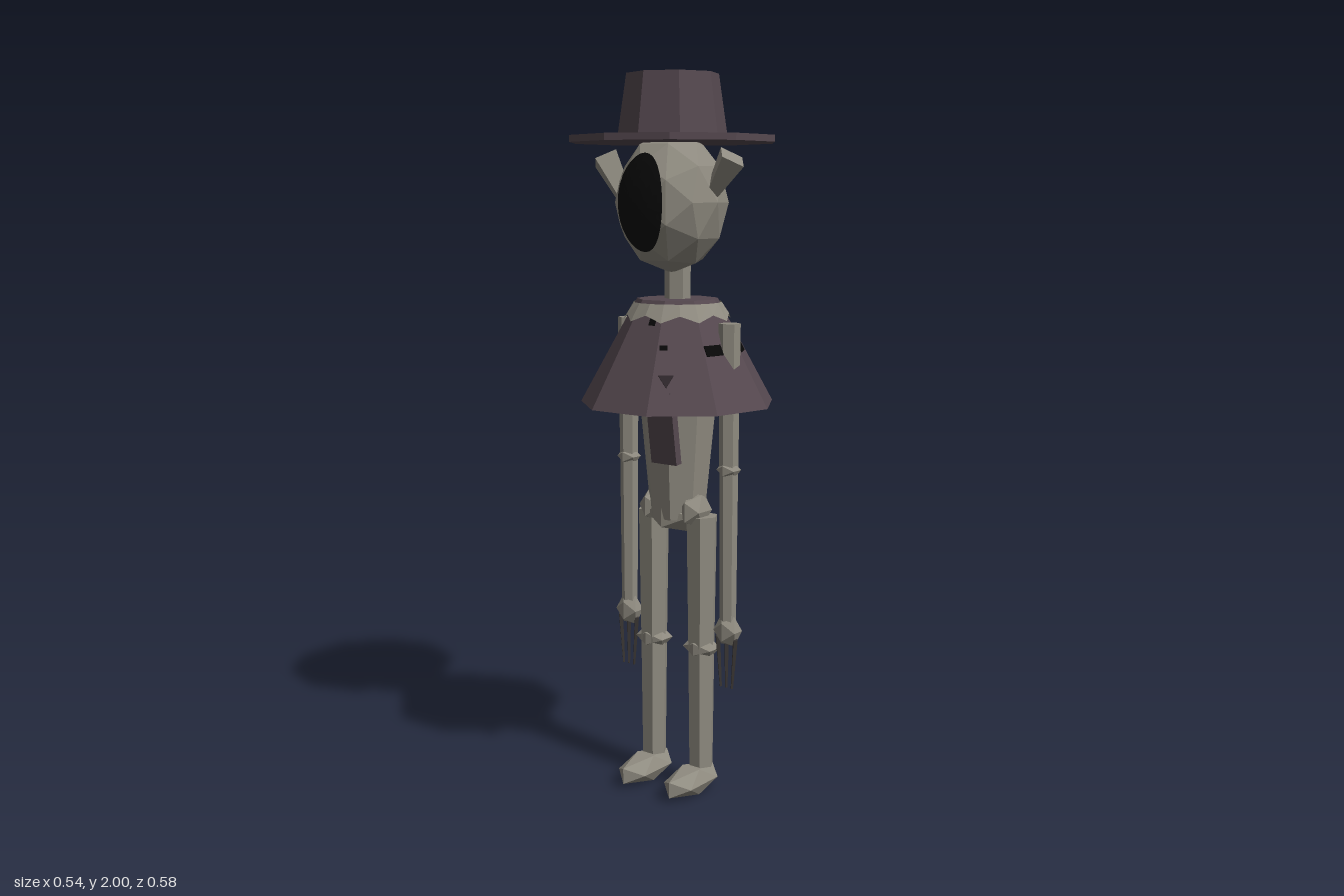
import * as THREE from 'three';

const mat = (name, color, side = THREE.FrontSide) =>
  Object.assign(new THREE.MeshStandardMaterial({ color, flatShading: true, side }), { name });

export function createModel() {
  const model = new THREE.Group();
  model.name = 'hattedFigure';
  const bone = mat('bone', 0x8f8b80);
  const collarBone = mat('collar bone', 0x8f8b80, THREE.DoubleSide);
  const cloth = mat('dark cloth', 0x55484f);
  const black = mat('black', 0x080808, THREE.DoubleSide);
  const claw = mat('claw', 0x3b3735);
  const patch = mat('patch', 0x2f272b);
  const Z = -0.017; // body axis depth

  const add = (name, geo, material, x = 0, y = 0, z = 0, parent = model) => {
    const m = new THREE.Mesh(geo, material);
    m.name = name;
    m.position.set(x, y, z);
    parent.add(m);
    return m;
  };
  // tapered prism from point a to point b
  const limb = (name, material, a, b, ra, rb, sides, twist = 0) => {
    const p = new THREE.Vector3(...a), q = new THREE.Vector3(...b);
    const d = q.clone().sub(p);
    const geo = new THREE.CylinderGeometry(rb, ra, d.length(), sides).rotateY(twist);
    const m = add(name, geo, material);
    m.position.copy(p).add(q).multiplyScalar(0.5);
    m.quaternion.setFromUnitVectors(new THREE.Vector3(0, 1, 0), d.normalize());
    return m;
  };
  // faceted joint with the given half extents
  const joint = (name, x, y, z, rx, ry, rz) =>
    add(name, new THREE.IcosahedronGeometry(1 / 0.851, 0).scale(rx, ry, rz), bone, x, y, z);

  // hat
  add('hatBrim', new THREE.CylinderGeometry(0.285, 0.285, 0.018, 10), cloth, 0, 1.827, 0.005);
  add('hatCrown', new THREE.CylinderGeometry(0.125, 0.15, 0.17, 8), cloth, 0, 1.915, 0.005);

  // head
  const hr = [0.155, 0.19, 0.155], hy = 1.66, hz = 0.01;
  add('head', new THREE.IcosahedronGeometry(1, 1).scale(...hr), bone, 0, hy, hz);

  // hollow face, wrapped over the front of the head
  const face = new THREE.RingGeometry(0.001, 1, 32, 6).scale(0.075, 0.13, 1);
  const fp = face.attributes.position;
  for (let i = 0; i < fp.count; i++) {
    const u = fp.getX(i) / hr[0], v = fp.getY(i) / hr[1];
    fp.setZ(i, hr[2] * Math.sqrt(1 - u * u - v * v) + 0.002);
  }
  face.computeVertexNormals();
  add('face', face, black, 0, hy, hz);

  // flared ears of unequal length
  limb('leftEar', bone, [0.115, 1.66, 0.007], [0.198, 1.778, 0.007], 0.015, 0.045, 4);
  limb('rightEar', bone, [-0.125, 1.61, 0.007], [-0.235, 1.78, 0.007], 0.015, 0.045, 4);

  // neck, torso and pelvis
  limb('neck', bone, [0, 1.35, Z], [0, 1.52, Z], 0.036, 0.036, 6);
  limb('torso', bone, [0, 0.79, Z], [0, 1.3, Z], 0.078, 0.128, 8, Math.PI / 8);
  joint('pelvis', 0, 0.8, Z, 0.075, 0.052, 0.075);

  // cloak
  const cloakR = y => 0.273 - 0.16 * (y - 1.11) / 0.29;
  add('cloak', new THREE.CylinderGeometry(cloakR(1.4), cloakR(1.11), 0.29, 9).rotateY(Math.PI),
    cloth, 0, 1.255, Z);

  // jagged collar
  const collar = new THREE.CylinderGeometry(0.122, 0.142, 0.03, 18, 1, true);
  const cp = collar.attributes.position;
  for (let i = 0; i < 19; i++) {
    if (i % 2) cp.setY(i + 19, cp.getY(i + 19) - 0.018);
    const k = i % 2 ? 1.06 : 1;
    cp.setX(i + 19, cp.getX(i + 19) * k);
    cp.setZ(i + 19, cp.getZ(i + 19) * k);
  }
  add('collar', collar, collarBone, 0, 1.376, Z);

  // thin plates lying on the cloak: [name, facet angle, sideways offset, y, width, height]
  const tilt = Math.atan(0.16 * Math.cos(Math.PI / 9) / 0.29);
  const plate = (name, geo, material, deg, u, y) => {
    const g = new THREE.Group();
    g.name = name;
    g.position.set(0, y, Z);
    g.rotation.y = deg * Math.PI / 180;
    model.add(g);
    const m = add(name + 'Plate', geo, material, u, 0, cloakR(y) * Math.cos(Math.PI / 9), g);
    m.rotation.x = -tilt;
  };
  for (const [name, deg, u, y, w, h] of [
    ['frontButton', 0, 0.02, 1.345, 0.02, 0.022],
    ['frontSlit', 40, -0.045, 1.28, 0.022, 0.012],
    ['sideSlit', 80, -0.03, 1.27, 0.06, 0.03],
    ['rearSideSlit', 120, -0.005, 1.27, 0.07, 0.03],
    ['backButton', -160, 0, 1.335, 0.018, 0.018],
    ['lowerBackButton', -160, 0, 1.22, 0.018, 0.018],
  ]) plate(name, new THREE.BoxGeometry(w, h, 0.006), black, deg, u, y);
  plate('trianglePatch', new THREE.CylinderGeometry(0.024, 0.024, 0.008, 3).rotateX(Math.PI / 2),
    patch, 40, -0.04, 1.2);

  // hanging cloth strip
  const strip = add('hangingStrip', new THREE.BoxGeometry(0.085, 0.2, 0.022), cloth, 0.082, 1.07, 0.153);
  strip.rotation.x = 0.14;

  // arms and legs, mirrored
  for (const [side, s] of [['left', 1], ['right', -1]]) {
    const ax = s * 0.176, lx = s * 0.085;
    limb(side + 'UpperArm', bone, [ax, 0.94, Z], [ax, 1.34, Z], 0.026, 0.03, 6);
    joint(side + 'Elbow', ax, 0.94, Z, 0.029, 0.022, 0.029);
    limb(side + 'Forearm', bone, [ax, 0.5, Z], [ax, 0.94, Z], 0.023, 0.026, 6);
    joint(side + 'Hand', ax, 0.485, Z, 0.036, 0.042, 0.03);
    for (const f of [-1, 0, 1])
      limb(side + 'Finger', claw, [ax + f * 0.03, 0.465, Z + 0.005],
        [ax + f * 0.019, 0.32, Z + 0.005], 0.008, 0.004, 4);

    joint(side + 'Hip', s * 0.07, 0.815, Z + 0.01, 0.035, 0.045, 0.05);
    limb(side + 'Thigh', bone, [lx, 0.42, Z], [lx, 0.8, Z], 0.04, 0.046, 6, Math.PI / 6);
    joint(side + 'Knee', lx, 0.42, Z, 0.048, 0.028, 0.04);
    limb(side + 'Shin', bone, [lx, 0.07, Z], [lx, 0.42, Z], 0.036, 0.04, 6, Math.PI / 6);
    joint(side + 'Foot', s * 0.083, 0.037, 0.028, 0.048, 0.037, 0.102);
  }
  return model;
}
